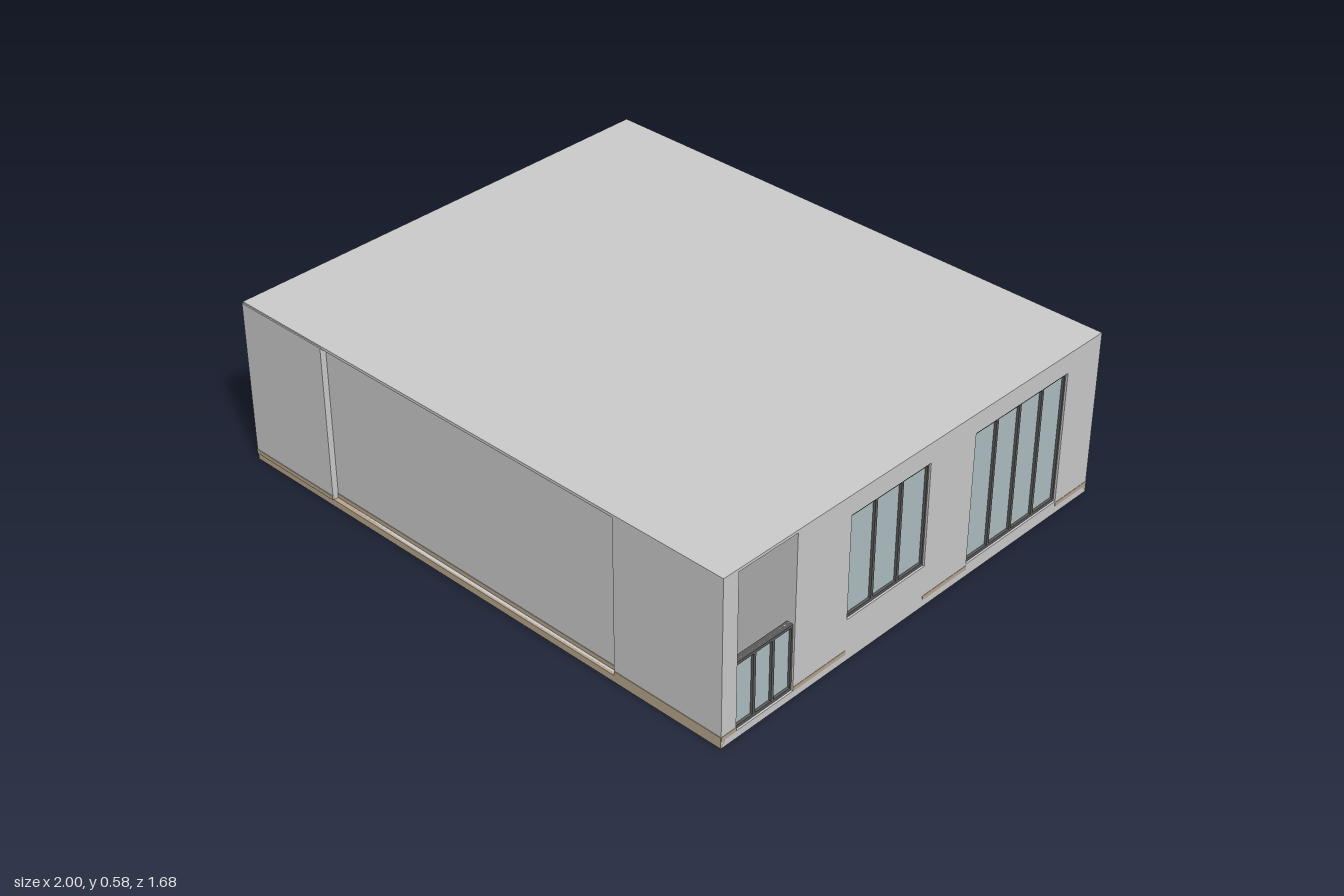
import * as THREE from 'three';

const mat = (color) => new THREE.MeshStandardMaterial({ color });
const grey = mat(0xcccccc), wood = mat(0xb8a68e), dark = mat(0x5a5a5a), glass = mat(0xaebfc4);

const HX = 1, HZ = 0.835, TOP = 0.585, WALL = 0.04, FLOOR = 0.025;

// Box given by its minimum and maximum corner
function box(parent, name, [x0, x1], [y0, y1], [z0, z1], material) {
  const m = new THREE.Mesh(new THREE.BoxGeometry(x1 - x0, y1 - y0, z1 - z0), material);
  m.position.set((x0 + x1) / 2, (y0 + y1) / 2, (z0 + z1) / 2);
  m.name = name;
  parent.add(m);
  return m;
}

// Wall across z with rectangular openings [z0, z1, y0, y1]; outer end at x
function sideWall(parent, name, x, openings) {
  const rect = (P, z0, z1, y0, y1) => {
    const p = new P();
    p.moveTo(z0, y0); p.lineTo(z1, y0); p.lineTo(z1, y1); p.lineTo(z0, y1); p.closePath();
    return p;
  };
  const shape = rect(THREE.Shape, -HZ, HZ, FLOOR, 0.58);
  openings.forEach((o) => shape.holes.push(rect(THREE.Path, ...o)));
  const geo = new THREE.ExtrudeGeometry(shape, { depth: WALL, bevelEnabled: false });
  geo.rotateY(-Math.PI / 2);
  const m = new THREE.Mesh(geo, grey);
  m.position.x = x;
  m.name = name;
  parent.add(m);
}

// Glazing with frame and evenly spaced mullions, set just inside the wall face
function glazing(parent, name, z0, z1, y0, y1, panes) {
  const g = new THREE.Group();
  g.name = name;
  const t = 0.006, fx = [0.97, 0.993];
  box(g, 'glassPane', [0.978, 0.984], [y0, y1], [z0, z1], glass);
  box(g, 'bottomRail', fx, [y0, y0 + 0.01], [z0, z1], dark);
  box(g, 'topRail', fx, [y1 - 0.01, y1], [z0, z1], dark);
  for (let i = 0; i <= panes; i++) {
    const z = THREE.MathUtils.lerp(z0 + t / 2, z1 - t / 2, i / panes);
    const w = i % panes ? 0.005 : t / 2;
    box(g, 'mullion', fx, [y0, y1], [z - w, z + w], dark);
  }
  parent.add(g);
}

export function createModel() {
  const house = new THREE.Group();
  house.name = 'house';

  // Floor and roof slabs
  box(house, 'floorSlab', [-HX, HX], [0, FLOOR], [-HZ, HZ], grey);
  box(house, 'floorBoards', [-0.96, 0.96], [FLOOR, FLOOR + 0.003], [-0.79, 0.79], wood);
  box(house, 'roof', [-HX, HX], [0.575, TOP], [-HZ, HZ], grey);

  // Long walls with a shallow recessed centre, and their skirting
  for (const s of [1, -1]) {
    const zr = (a, b) => [Math.min(s * a, s * b), Math.max(s * a, s * b)];
    const wall = new THREE.Group();
    wall.name = s > 0 ? 'frontWall' : 'backWall';
    house.add(wall);
    const spans = [[-HX, -0.63, 0.839], [-0.63, 0.59, 0.818], [0.59, HX, HZ]];
    for (const [x0, x1, z] of spans) {
      box(wall, 'wallPanel', [x0, x1], [FLOOR, 0.58], zr(0.79, z), grey);
      box(wall, 'skirting', [x0, x1], [FLOOR, 0.04], zr(z - 0.005, z + 0.002), wood);
    }
    box(wall, 'baseStrip', [-HX, HX], [0.001, FLOOR], zr(0.82, HZ + 0.002), wood);
  }

  // Side walls with their openings
  const bigWindow = [-0.675, -0.235, 0.045, 0.515], smallWindow = [-0.03, 0.315, 0.15, 0.515];
  const balconyGap = [0.54, 0.775, 0.026, 0.575], doorway = [-0.41, -0.21, 0.026, 0.475];
  sideWall(house, 'windowWall', HX, [bigWindow, smallWindow, balconyGap]);
  sideWall(house, 'entranceWall', -HX + WALL, [doorway]);
  glazing(house, 'bigWindow', ...bigWindow, 4);
  glazing(house, 'smallWindow', ...smallWindow, 3);
  glazing(house, 'balconyGlazing', 0.54, 0.775, 0.026, 0.26, 3);

  // Side skirting, broken at the windows and doors
  for (const z of [[-HZ, -0.675], [-0.235, -0.03], [0.315, 0.54], [0.775, HZ]])
    box(house, 'skirting', [0.99, 1.001], [FLOOR, 0.04], z, wood);
  for (const z of [[-HZ, -0.41], [-0.21, HZ]])
    box(house, 'skirting', [-1.001, -0.99], [FLOOR, 0.04], z, wood);

  // Balcony room with an inner door and drying rails
  const balcony = new THREE.Group();
  balcony.name = 'balcony';
  house.add(balcony);
  box(balcony, 'partition', [0.5, 0.965], [FLOOR, 0.575], [0.5, 0.54], grey);
  box(balcony, 'innerWall', [0.46, 0.5], [FLOOR, 0.575], [0.5, 0.8], grey);
  for (const z of [0.615, 0.765])
    box(balcony, 'doorJamb', [0.49, 0.51], [FLOOR, 0.475], [z, z + 0.01], wood);
  box(balcony, 'doorHead', [0.49, 0.51], [0.465, 0.475], [0.615, 0.775], wood);
  for (const z of [0.68, 0.705, 0.73, 0.755])
    box(balcony, 'dryingRail', [0.6, 0.92], [0.514, 0.519], [z - 0.002, z + 0.002], dark);
  for (const x of [0.66, 0.86]) {
    box(balcony, 'railCrossbar', [x, x + 0.006], [0.519, 0.523], [0.675, 0.76], dark);
    box(balcony, 'railHanger', [x, x + 0.004], [0.52, 0.575], [0.716, 0.72], dark);
  }

  // Entrance door frame and hall cabinet behind it
  const entrance = new THREE.Group();
  entrance.name = 'entrance';
  house.add(entrance);
  for (const z of [-0.412, -0.216])
    box(entrance, 'doorJamb', [-1.002, -0.955], [FLOOR, 0.478], [z, z + 0.008], wood);
  box(entrance, 'doorHead', [-1.002, -0.955], [0.468, 0.478], [-0.412, -0.208], wood);
  box(entrance, 'hallWall', [-0.96, -0.4], [FLOOR, 0.575], [0.02, 0.06], grey);
  box(entrance, 'cabinetBase', [-0.94, -0.45], [0.05, 0.2], [-0.14, 0.02], wood);
  box(entrance, 'cabinetTop', [-0.94, -0.45], [0.2, 0.212], [-0.145, 0.02], dark);
  box(entrance, 'cabinetBack', [-0.94, -0.45], [0.21, 0.32], [0, 0.02], wood);
  box(entrance, 'upperCabinet', [-0.94, -0.45], [0.32, 0.56], [-0.14, 0.02], wood);
  box(entrance, 'hallEndWall', [-0.44, -0.4], [FLOOR, 0.575], [-0.6, 0.06], grey);

  return house;
}
